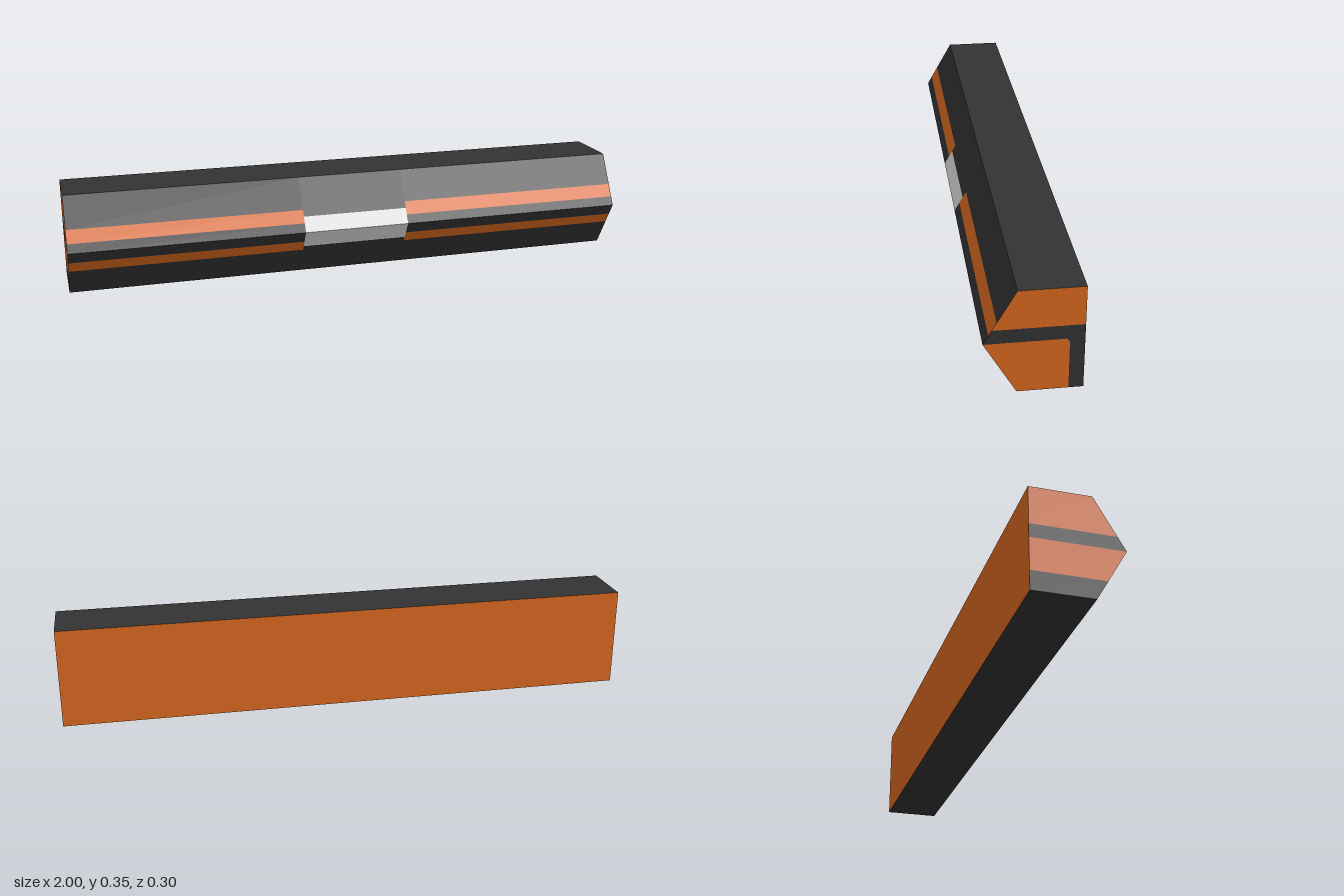
import * as THREE from 'three';

const H = 0.348, MID = 0.174, BACK = -0.15, EDGE = 0.05, TIP = 0.15;
// z of the wedge-shaped front at a given height
const frontZ = y => TIP - (TIP - EDGE) * Math.abs(y - MID) / MID;

export function createModel() {
  const group = new THREE.Group();
  const mat = (name, color) => Object.assign(new THREE.MeshStandardMaterial({ color }), { name });
  const dark = mat('charcoal', 0x333333);
  const orange = mat('orange', 0xdd6b20);
  const white = mat('lightGrey', 0xe0e0e0);

  const add = (name, geometry, material) => {
    const mesh = new THREE.Mesh(geometry, material);
    mesh.name = name;
    group.add(mesh);
  };

  // Flat strip along x, between two [z, y] points of the profile
  const strip = (name, material, [z0, y0], [z1, y1], xa = -1, xb = 1) => {
    const g = new THREE.BufferGeometry();
    g.setAttribute('position', new THREE.Float32BufferAttribute(
      [xa, y0, z0, xb, y0, z0, xb, y1, z1, xa, y1, z1], 3));
    g.setIndex([0, 1, 2, 0, 2, 3]);
    g.computeVertexNormals();
    add(name, g, material);
  };

  // Flat piece of an end cap from [z, y] points; side is +1 or -1
  const cap = (name, material, side, points) => {
    const shape = new THREE.Shape(points.map(([z, y]) => new THREE.Vector2(-side * z, y)));
    const g = new THREE.ShapeGeometry(shape);
    g.rotateY(side * Math.PI / 2).translate(side, 0, 0);
    add(name, g, material);
  };

  // Bottom, top and back
  strip('bottom', dark, [BACK, 0], [EDGE, 0]);
  strip('top', dark, [EDGE, H], [BACK, H]);
  strip('backPanel', orange, [BACK, H], [BACK, 0]);

  // Horizontal bands on the wedge front, stacked from bottom to top
  const bands = (name, xa, xb, rows) => rows.forEach(([y0, y1, m]) =>
    strip(name, m, [frontZ(y0), y0], [frontZ(y1), y1], xa, xb));
  const sideRows = [
    [0, 0.096, dark], [0.096, 0.133, orange], [0.133, MID, dark],
    [MID, 0.203, dark], [0.203, 0.245, orange], [0.245, H, dark],
  ];
  bands('rightFrontBand', -1, -0.188, sideRows);
  bands('leftFrontBand', 0.188, 1, sideRows);
  bands('centreFrontBand', -0.188, 0.188, [
    [0, 0.112, dark], [0.112, MID, white], [MID, 0.224, white], [0.224, H, dark],
  ]);

  // Upper block and middle band shared by both ends
  for (const side of [1, -1]) {
    cap('endUpper', orange, side, [[BACK, 0.22], [frontZ(0.22), 0.22], [EDGE, H], [BACK, H]]);
    cap('endBand', dark, side, [[BACK, MID], [TIP, MID], [frontZ(0.22), 0.22], [BACK, 0.22]]);
  }
  // Left end: dark upright behind the lower block, with a small notch
  cap('leftEndLower', orange, 1,
    [[-0.105, 0], [EDGE, 0], [TIP, MID], [-0.098, MID], [-0.098, 0.167], [-0.105, 0.167]]);
  cap('leftEndUpright', dark, 1,
    [[BACK, 0], [-0.105, 0], [-0.105, 0.167], [-0.098, 0.167], [-0.098, MID], [BACK, MID]]);
  // Right end: dark stripe along the foot
  cap('rightEndLower', orange, -1, [[BACK, 0.065], [frontZ(0.065), 0.065], [TIP, MID], [BACK, MID]]);
  cap('rightEndFoot', dark, -1, [[BACK, 0], [EDGE, 0], [frontZ(0.065), 0.065], [BACK, 0.065]]);

  return group;
}
